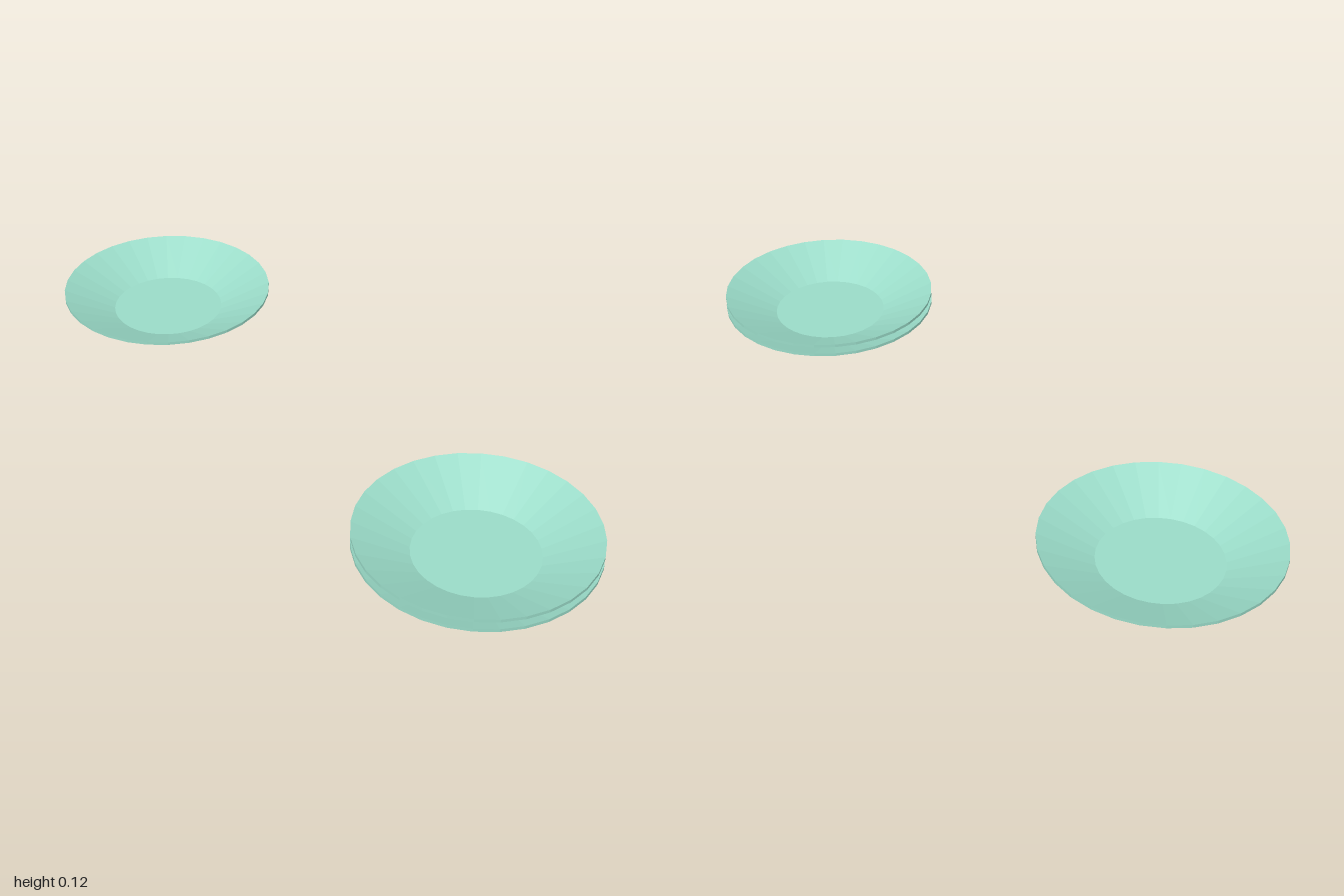
import * as THREE from 'three';

const SIDES = 32;
const material = new THREE.MeshStandardMaterial({ color: 0x9adbc8, flatShading: true });

// Plate cross-section: underside, flared wall, thin vertical rim, inner wall, floor
const profile = [
  [0, 0], [0.19, 0], [0.366, 0.08], [0.366, 0.09], [0.192, 0.01], [0, 0.01],
].map(([r, y]) => new THREE.Vector2(r, y));
const plateGeometry = new THREE.LatheGeometry(profile, SIDES);

function addPlate(parent, name, x, y, z) {
  const plate = new THREE.Mesh(plateGeometry, material);
  plate.name = name;
  plate.position.set(x, y, z);
  parent.add(plate);
}

export function createModel() {
  const model = new THREE.Group();
  model.name = 'plates';

  // Lone plate at the back right
  addPlate(model, 'singlePlate', -0.573, 0, -0.634);

  // Two nested plates at the front left
  const stack = new THREE.Group();
  stack.name = 'plateStack';
  stack.position.set(0.573, 0, 0.634);
  ['lowerPlate', 'upperPlate'].forEach((name, i) => addPlate(stack, name, 0, i * 0.035, 0));
  model.add(stack);

  return model;
}
